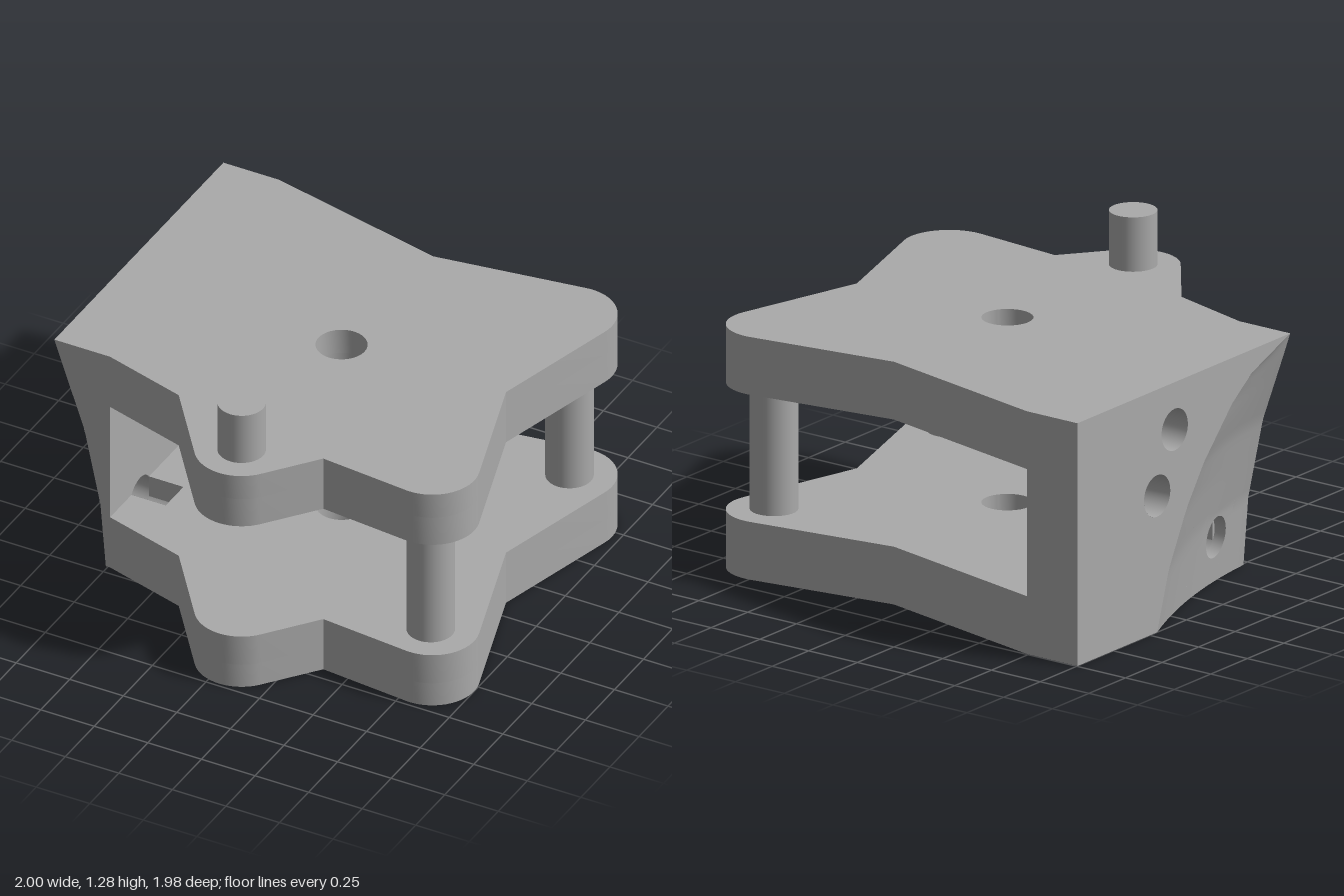
import * as THREE from 'three';
import { toCreasedNormals } from 'three/addons/utils/BufferGeometryUtils.js';

const LEFT = -1, INNER = -0.74, BACK = -0.995, FRONT = 0.46, TOP = 1.05;
const LOW = 0.25, HIGH = 0.8, R = 0.09, GROOVE_END = -0.58;

// piecewise linear lookup
const lerpTable = (t, v) => {
  for (let i = 1; i < t.length; i++) {
    if (v <= t[i][0]) {
      const [a, b] = [t[i - 1], t[i]];
      return a[1] + (b[1] - a[1]) * (v - a[0]) / (b[0] - a[0]);
    }
  }
  return t[t.length - 1][1];
};
// where the scooped dish begins (z by y), and its depth at the front edge (x by y)
const RIM = [[0, -0.45], [0.25, -0.37], [0.48, -0.25], [0.65, -0.13], [0.86, 0.07], [0.95, 0.2], [1.05, 0.46]];
const DEPTH = [[0, 0.24], [0.3, 0.215], [0.65, 0.14], [0.95, 0.034], [1.05, 0]];
const rim = y => lerpTable(RIM, y);
const dishX = (t, y) => LEFT + lerpTable(DEPTH, y) * t * (1.7 - 0.7 * t);
const dishPoint = (t, y) => [dishX(t, y), y, rim(y) + (FRONT - rim(y)) * t];
const toT = (z, y) => (z - rim(y)) / (FRONT - rim(y));
const sideX = (z, y) => { const t = toT(z, y); return t > 0 ? dishX(t, y) : LEFT; };

// cross holes through the side block
const HOLES = {
  upper: { z: -0.33, y: 0.845, shift: 0 },
  middle: { z: -0.45, y: 0.59, shift: -0.035 },
  lower: { z: 0.2, y: 0.2, shift: 0 },
};

export function createModel() {
  const grey = new THREE.MeshStandardMaterial({ color: 0xaaaaaa });
  const greySkin = new THREE.MeshStandardMaterial({ color: 0xaaaaaa, side: THREE.DoubleSide });
  greySkin.name = 'greySkin';
  grey.name = 'grey';
  const model = new THREE.Group();
  const add = (name, geo, mat = grey, parent = model) => {
    const m = new THREE.Mesh(geo, mat);
    m.name = name;
    parent.add(m);
    return m;
  };

  // ---- star-shaped plates
  const arc = (cx, cz, a0, a1, r = 0.195) => Array.from({ length: 17 }, (_, i) => {
    const a = a0 + (a1 - a0) * i / 16;
    return [cx + r * Math.cos(a), cz + r * Math.sin(a)];
  });
  const plate = (name, y0, y1, notchZ) => {
    const pts = [[INNER, BACK], [0.08, -0.81], ...arc(0.77, -0.715, -1.73, 0.24), [0.81, -0.09],
      ...arc(0.805, 0.535, -0.31, 1.63), [0.38, 0.69], ...arc(0.053, 0.79, 0.63, 2.48),
      [-0.36, 0.57], [INNER, FRONT]];
    if (notchZ !== undefined) {
      const h = 0.076;
      pts.push([INNER, notchZ + h], [GROOVE_END, notchZ + h], [GROOVE_END, notchZ - h], [INNER, notchZ - h]);
    }
    const shape = new THREE.Shape(pts.map(([x, z]) => new THREE.Vector2(x, -z)));
    shape.holes.push(new THREE.Path().absarc(0.053, 0.07, 0.107, 0, Math.PI * 2));
    const geo = new THREE.ExtrudeGeometry(shape, { depth: y1 - y0, bevelEnabled: false, curveSegments: 32 });
    geo.rotateX(-Math.PI / 2).translate(0, y0, 0);
    add(name, toCreasedNormals(geo, 0.5));
  };
  plate('lowerPlateBase', 0, 0.11);
  plate('lowerPlateTop', 0.11, LOW, HOLES.lower.z);
  plate('upperPlateBase', HIGH, 0.935, HOLES.upper.z);
  plate('upperPlateTop', 0.935, TOP);

  // ---- posts and locating pin
  const rod = (name, x, z, r, y0, y1) => {
    add(name, new THREE.CylinderGeometry(r, r, y1 - y0, 40)).position.set(x, (y0 + y1) / 2, z);
  };
  rod('frontPost', 0.8, 0.54, 0.1, LOW, HIGH);
  rod('backPost', 0.77, -0.71, 0.1, LOW, HIGH);
  rod('locatingPin', 0.053, 0.79, 0.1, TOP, 1.285);

  // ---- side block, made of face panels
  const block = new THREE.Group();
  block.name = 'sideBlock';
  model.add(block);
  const panel = (name, pts, place, holes = []) => {
    const shape = new THREE.Shape(pts.map(p => new THREE.Vector2(...p)));
    for (const h of holes) shape.holes.push(new THREE.Path().absarc(h.z, h.y, R, 0, Math.PI * 2));
    const geo = new THREE.ShapeGeometry(shape, 32), pos = geo.attributes.position;
    for (let i = 0; i < pos.count; i++) pos.setXYZ(i, ...place(pos.getX(i), pos.getY(i)));
    geo.computeVertexNormals();
    // turn the winding round if the panel faces the block centre
    const n = geo.attributes.normal, c = new THREE.Vector3(-0.85, 0.5, -0.3);
    const out = (pos.getX(0) - c.x) * n.getX(0) + (pos.getY(0) - c.y) * n.getY(0) + (pos.getZ(0) - c.z) * n.getZ(0);
    if (out < 0) {
      geo.index.array.reverse();
      geo.computeVertexNormals();
    }
    add(name, geo, greySkin, block);
  };
  const steps = Array.from({ length: 22 }, (_, i) => i / 21);
  const ys = steps.map(s => s * TOP);
  panel('blockTop', [[LEFT, BACK], [INNER, BACK], [INNER, FRONT], [LEFT, FRONT]], (x, z) => [x, TOP, z]);
  panel('blockBack', [[LEFT, 0], [INNER, 0], [INNER, TOP], [LEFT, TOP]], (x, y) => [x, y, BACK]);
  panel('blockBottom', [[INNER, FRONT], [INNER, BACK], [LEFT, BACK],
    ...steps.map(t => { const p = dishPoint(t, 0); return [p[0], p[2]]; })], (x, z) => [x, 0, z]);
  panel('blockFront', [[INNER, TOP], [INNER, 0], ...ys.map(y => [dishX(1, y), y])], (x, y) => [x, y, FRONT]);
  panel('blockSide', [[BACK, TOP], [BACK, 0], ...ys.map(y => [rim(y), y])],
    (z, y) => [LEFT, y, z], [HOLES.upper, HOLES.middle]);

  // inner wall, with the edges of the upper and lower holes biting into it
  const bite = (h, yEdge, a0, a1) => Array.from({ length: 17 }, (_, i) => {
    const a = a0 + (a1 - a0) * i / 16;
    return [h.z + R * Math.cos(a), h.y + R * Math.sin(a)];
  });
  const aLow = Math.asin((LOW - HOLES.lower.y) / R), aHigh = Math.asin((HIGH - HOLES.upper.y) / R);
  panel('blockInner', [[BACK, LOW], ...bite(HOLES.lower, LOW, Math.PI - aLow, aLow), [FRONT, LOW], [FRONT, HIGH],
    ...bite(HOLES.upper, HIGH, aHigh, -Math.PI - aHigh), [BACK, HIGH]], (z, y) => [INNER, y, z],
    [{ z: HOLES.middle.z + HOLES.middle.shift, y: HOLES.middle.y }]);

  // surface from a grid of points
  const sheet = (rows, name, crease = 0.4) => {
    const tri = [];
    for (let i = 0; i + 1 < rows.length; i++) {
      for (let j = 0; j + 1 < rows[i].length; j++) {
        const [a, b, c, d] = [rows[i][j], rows[i][j + 1], rows[i + 1][j + 1], rows[i + 1][j]];
        tri.push(...a, ...b, ...c, ...a, ...c, ...d);
      }
    }
    const geo = new THREE.BufferGeometry();
    geo.setAttribute('position', new THREE.Float32BufferAttribute(tri, 3));
    add(name, toCreasedNormals(geo, crease), greySkin, block);
  };

  // scooped dish: four bands around a square patch that carries the lower hole
  const span = (a, b, n) => Array.from({ length: n + 1 }, (_, i) => a + (b - a) * i / n);
  const [t0, t1, y0, y1] = [0.53, 0.85, 0.07, 0.33];
  const band = (ta, tb, ya, yb, n, m) =>
    sheet(span(ya, yb, m).map(y => span(ta, tb, n).map(t => dishPoint(t, y))), 'dish');
  band(0, 1, 0, y0, 24, 2);
  band(0, t0, y0, y1, 12, 8);
  band(t1, 1, y0, y1, 4, 8);
  band(0, 1, y1, TOP, 24, 22);
  const ring = span(0, Math.PI * 2, 48).map(a => {
    const c = Math.cos(a), s = Math.sin(a), k = 1 / Math.max(Math.abs(c), Math.abs(s));
    const y = HOLES.lower.y + R * s;
    return {
      inner: [toT(HOLES.lower.z + R * c, y), y],
      outer: [(t0 + t1) / 2 + c * k * (t1 - t0) / 2, (y0 + y1) / 2 + s * k * (y1 - y0) / 2],
    };
  });
  sheet(span(0, 1, 3).map(f => ring.map(({ inner, outer }) =>
    dishPoint(outer[0] + (inner[0] - outer[0]) * f, outer[1] + (inner[1] - outer[1]) * f))), 'dishAroundHole');

  // hole walls, and the grooves that run on into the plates
  const tunnel = (name, h, a0, a1, start, end) => sheet([0, 1].map(f => span(a0, a1, 40).map(a => {
    const z = h.z + R * Math.cos(a), y = h.y + R * Math.sin(a), x = start ?? sideX(z, y);
    return [x + (end - x) * f, y, z + h.shift * f];
  })), name, 0.6);
  for (const [name, h] of Object.entries(HOLES)) tunnel(name + 'HoleWall', h, 0, Math.PI * 2, undefined, INNER);
  tunnel('lowerGroove', HOLES.lower, Math.PI - aLow, Math.PI * 2 + aLow, INNER, GROOVE_END);
  tunnel('upperGroove', HOLES.upper, aHigh, Math.PI - aHigh, INNER, GROOVE_END);

  return model;
}
